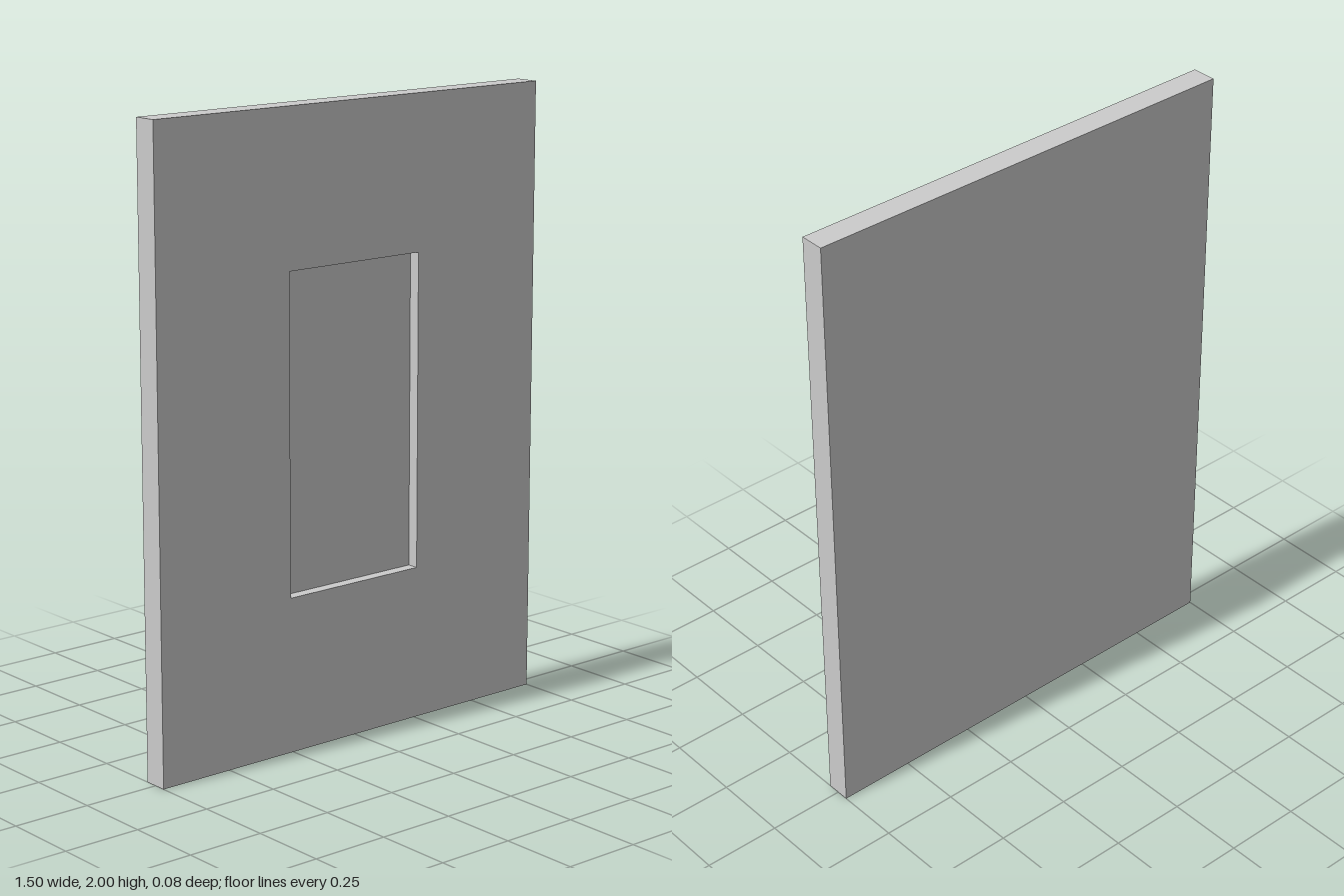
import * as THREE from 'three';

// Rectangular loop of corners, counter-clockwise seen from the front
const loop = (x0, x1, y0, y1, z) => [[x0, y0, z], [x1, y0, z], [x1, y1, z], [x0, y1, z]];

// Closed solid skinned through successive four-corner loops, flat shaded
function skinLoops(loops) {
  const positions = [];
  const quad = (a, b, c, d) => positions.push(...a, ...b, ...c, ...a, ...c, ...d);
  for (let i = 0; i < loops.length - 1; i++) {
    const p = loops[i], q = loops[i + 1];
    for (let k = 0; k < 4; k++) {
      const n = (k + 1) % 4;
      quad(p[k], p[n], q[n], q[k]);
    }
  }
  quad(...[...loops[0]].reverse());
  quad(...loops[loops.length - 1]);
  const geometry = new THREE.BufferGeometry();
  geometry.setAttribute('position', new THREE.Float32BufferAttribute(positions, 3));
  geometry.computeVertexNormals();
  return geometry;
}

export function createModel() {
  const group = new THREE.Group();
  group.name = 'recessedPanel';

  const outer = [-0.75, 0.75, 0, 2];
  const recess = [-0.257, 0.257, 0.497, 1.508];
  const half = 0.04, floor = 0.003;

  // Slab with a shallow rectangular recess in its front
  const panel = new THREE.Mesh(
    skinLoops([
      loop(...outer, -half),
      loop(...outer, half),
      loop(...recess, half),
      loop(...recess, floor),
    ]),
    new THREE.MeshStandardMaterial({ color: 0xcccccc, flatShading: true })
  );
  panel.name = 'panel';
  group.add(panel);
  return group;
}
